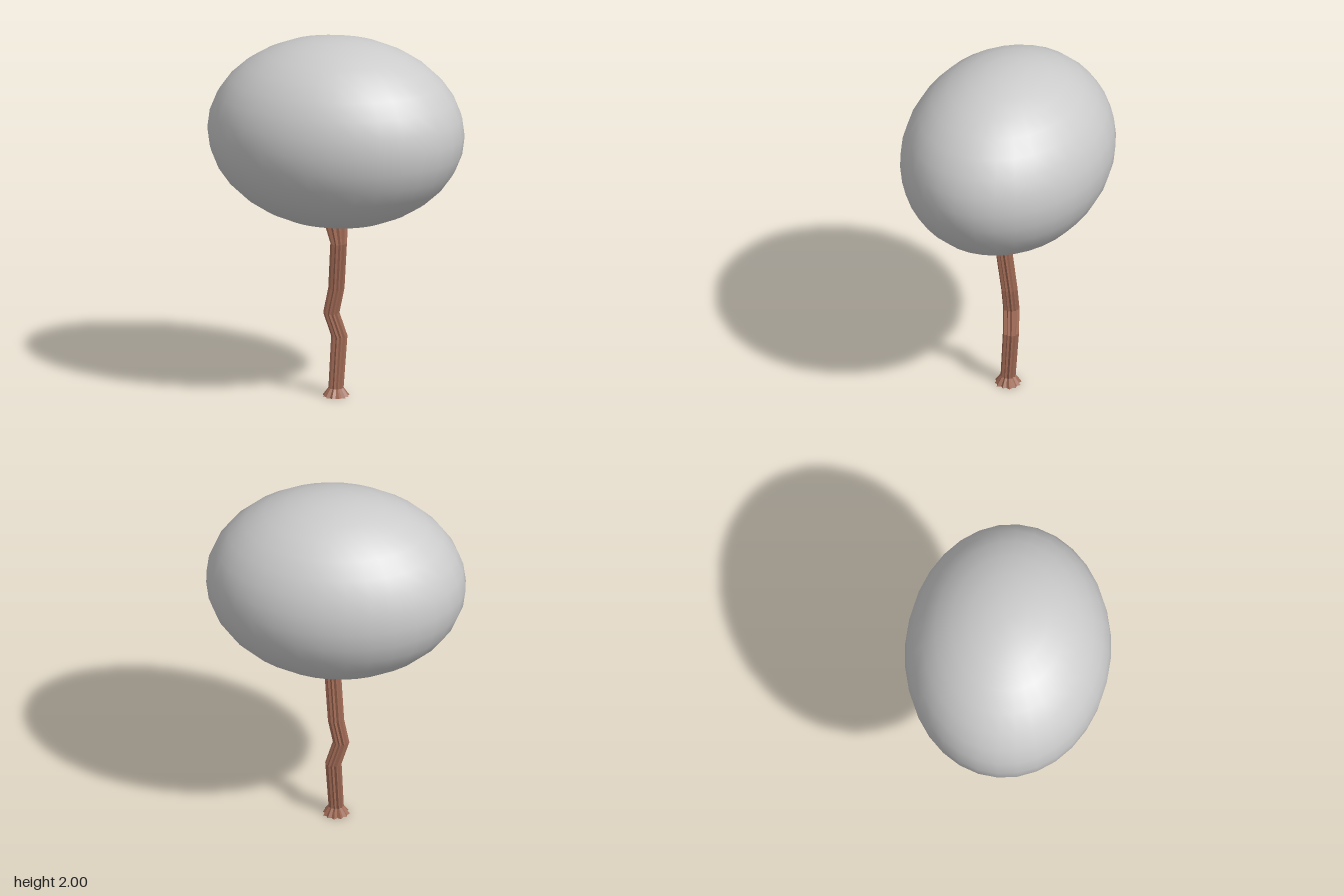
import * as THREE from 'three';

// Trunk stations: height, centre x, centre z, outer radius
const STATIONS = [
  [0, 0, 0, 0.076],
  [0.045, 0, 0, 0.043],
  [0.33, 0.012, -0.022, 0.046],
  [0.46, -0.028, -0.006, 0.046],
  [0.6, 0, -0.007, 0.046],
  [0.86, 0.02, 0.018, 0.047],
  [0.97, 0, 0, 0.068],
];
const FLUTES = 12;
const SIDES = FLUTES * 2;

// Fluted ring: outer ridges alternate with grooves of uneven depth
function ringPoint([y, cx, cz, r], i) {
  const k = i % SIDES;
  const a = (k / SIDES) * Math.PI * 2;
  const rad = r * (k % 2 ? 0.8 + 0.05 * Math.sin(k * 2.3) : 0.97 + 0.03 * Math.cos(k * 1.7));
  return [cx + rad * Math.sin(a), y, cz + rad * Math.cos(a)];
}

function trunkGeometry() {
  const pos = [];
  const tri = (a, b, c) => pos.push(...a, ...b, ...c);
  for (let s = 0; s < STATIONS.length - 1; s++) {
    for (let i = 0; i < SIDES; i++) {
      const a = ringPoint(STATIONS[s], i), b = ringPoint(STATIONS[s], i + 1);
      const c = ringPoint(STATIONS[s + 1], i + 1), d = ringPoint(STATIONS[s + 1], i);
      tri(a, b, c);
      tri(a, c, d);
    }
  }
  // End caps
  const bottom = STATIONS[0], top = STATIONS[STATIONS.length - 1];
  for (let i = 0; i < SIDES; i++) {
    tri([bottom[1], bottom[0], bottom[2]], ringPoint(bottom, i + 1), ringPoint(bottom, i));
    tri([top[1], top[0], top[2]], ringPoint(top, i), ringPoint(top, i + 1));
  }
  const geo = new THREE.BufferGeometry();
  geo.setAttribute('position', new THREE.Float32BufferAttribute(pos, 3));
  geo.computeVertexNormals();
  return geo;
}

export function createModel() {
  const model = new THREE.Group();
  model.name = 'tree';

  // Crooked trunk with flared foot and top
  const trunk = new THREE.Mesh(
    trunkGeometry(),
    new THREE.MeshStandardMaterial({ color: 0xa06a55, flatShading: true })
  );
  trunk.name = 'trunk';

  // Smooth ellipsoid crown
  const crownGeo = new THREE.SphereGeometry(1, 32, 16);
  crownGeo.scale(0.705, 0.521, 0.556);
  const crown = new THREE.Mesh(crownGeo, new THREE.MeshStandardMaterial({ color: 0xcccccc }));
  crown.name = 'crown';
  crown.position.y = 1.479;

  model.add(trunk, crown);
  return model;
}
